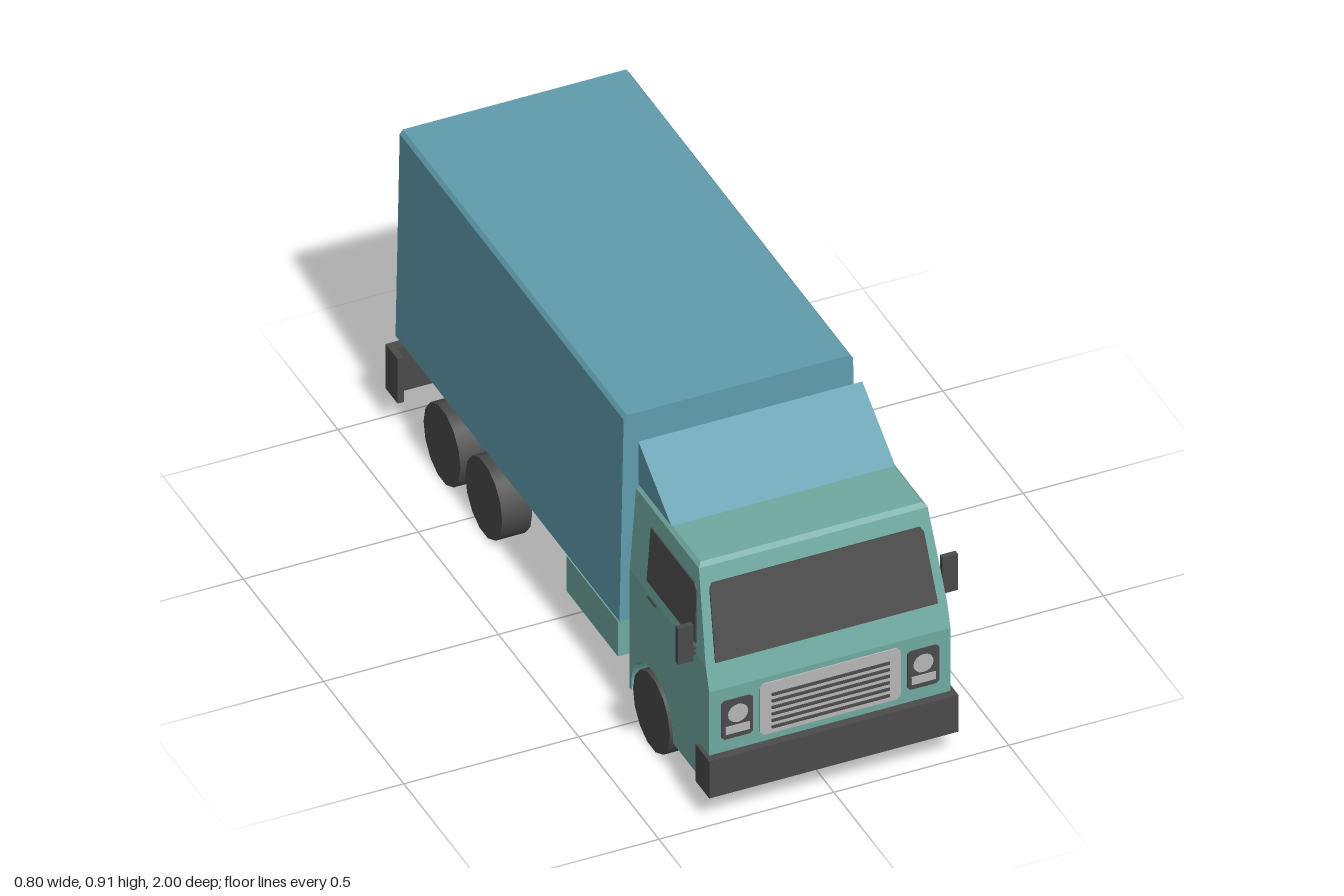
import * as THREE from 'three';

const mat = (name, color, side = THREE.FrontSide) => {
  const m = new THREE.MeshStandardMaterial({ color, side });
  m.name = name;
  return m;
};

export function createModel() {
  const green = mat('cabGreen', 0x70aaa1, THREE.DoubleSide);
  const blue = mat('cargoBlue', 0x609dae);
  const dark = mat('darkGrey', 0x4b4b4b);
  const light = mat('lightGrey', 0xb6b6b6);

  const add = (parent, name, geo, m, x = 0, y = 0, z = 0) => {
    const mesh = new THREE.Mesh(geo, m);
    mesh.name = name;
    mesh.position.set(x, y, z);
    parent.add(mesh);
    return mesh;
  };
  const group = (parent, name) => {
    const g = new THREE.Group();
    g.name = name;
    parent.add(g);
    return g;
  };
  // Box given by its limits on each axis
  const block = (parent, name, m, x0, x1, y0, y1, z0, z1) =>
    add(parent, name, new THREE.BoxGeometry(x1 - x0, y1 - y0, z1 - z0), m,
      (x0 + x1) / 2, (y0 + y1) / 2, (z0 + z1) / 2);
  const poly = (pts) => new THREE.Shape(pts.map(([x, y]) => new THREE.Vector2(x, y)));
  const extrude = (pts, depth) =>
    new THREE.ExtrudeGeometry(poly(pts), { depth, bevelEnabled: false });
  // Rectangle with cut corners
  const cutRect = (x0, x1, y0, y1, c) => [
    [x0 + c, y0], [x1 - c, y0], [x1, y0 + c], [x1, y1 - c],
    [x1 - c, y1], [x0 + c, y1], [x0, y1 - c], [x0, y0 + c]];
  // Convex flat-shaded faces, each a list of [x, y, z] corners
  const faces = (list) => {
    const v = [];
    for (const f of list)
      for (let i = 1; i < f.length - 1; i++) v.push(...f[0], ...f[i], ...f[i + 1]);
    const g = new THREE.BufferGeometry();
    g.setAttribute('position', new THREE.Float32BufferAttribute(v, 3));
    g.computeVertexNormals();
    return g;
  };

  const truck = new THREE.Group();
  truck.name = 'boxTruck';

  // Cab shell, open below: [half width, y, z] from front bottom over the roof to back bottom
  const cab = group(truck, 'cab');
  const section = [
    [0.345, 0.1, 0.975], [0.345, 0.41, 0.975], [0.345, 0.48, 0.953], [0.327, 0.735, 0.872],
    [0.317, 0.746, 0.86], [0.317, 0.746, 0.488], [0.327, 0.735, 0.48], [0.345, 0.48, 0.48],
    [0.345, 0.1, 0.48]];
  const strips = [];
  for (let i = 0; i < section.length - 1; i++) {
    const [a, ay, az] = section[i], [b, by, bz] = section[i + 1];
    strips.push([[-a, ay, az], [a, ay, az], [b, by, bz], [-b, by, bz]]);
  }
  add(cab, 'cabShell', faces(strips), green);

  // Windscreen on the sloped front
  const slope = Math.atan2(0.105, 0.33);
  const screen = add(cab, 'windscreen', extrude(
    [[-0.318, 0.076], [0.318, 0.076], [0.306, 0.28], [0.297, 0.294], [-0.297, 0.294], [-0.306, 0.28]],
    0.005), dark, 0, 0.41, 0.975);
  screen.rotation.x = -slope;

  // Grille
  const grille = group(cab, 'grille');
  add(grille, 'grillePanel', extrude(cutRect(-0.202, 0.202, 0.23, 0.393, 0.012), 0.004), light, 0, 0, 0.975);
  for (let i = 0; i < 6; i++) {
    const y = 0.354 - i * 0.0208;
    block(grille, 'grilleBar', dark, -0.168, 0.168, y - 0.004, y + 0.004, 0.977, 0.983);
  }

  // Roof wind deflector
  const wedge = add(cab, 'roofDeflector',
    extrude([[-0.685, 0.746], [-0.48, 0.746], [-0.48, 0.882]], 0.64), blue, -0.32, 0, 0);
  wedge.rotation.y = Math.PI / 2;

  // Cargo box with slightly leaning sides and cut top edges
  const cargo = group(truck, 'cargo');
  add(cargo, 'cargoBox', extrude(
    [[-0.34, 0.262], [0.34, 0.262], [0.328, 0.905], [0.319, 0.917], [-0.319, 0.917], [-0.328, 0.905]],
    1.395), blue, 0, 0, -0.99);
  block(cargo, 'cargoFloor', green, -0.335, 0.335, 0.257, 0.263, -0.985, 0.4);

  // Bumpers: a beam with a return at each end
  const bumper = (name, hw, y0, y1, zOuter, zBeam, zEnd) => {
    const g = group(truck, name);
    const span = (a, b) => [Math.min(a, b), Math.max(a, b)];
    block(g, 'bumperBeam', dark, -hw, hw, y0, y1, ...span(zOuter, zBeam));
    for (const s of [-1, 1])
      block(g, 'bumperEnd', dark, ...span(s * (hw - 0.018), s * hw), y0, y1, ...span(zBeam, zEnd));
  };
  bumper('frontBumper', 0.356, 0.09, 0.208, 1, 0.97, 0.915);
  bumper('rearBumper', 0.366, 0.098, 0.24, -0.995, -0.965, -0.92);

  for (const s of [1, -1]) {
    const side = group(truck, s > 0 ? 'leftSide' : 'rightSide');
    side.scale.x = s;

    // Lower cab side with wheel arch (shape x runs along -z)
    const lower = new THREE.Shape();
    lower.moveTo(-0.975, 0.1);
    lower.lineTo(-0.75, 0.1);
    lower.absarc(-0.62, 0.118, 0.13, Math.PI, 0, true);
    lower.lineTo(-0.49, 0.1);
    lower.lineTo(-0.48, 0.1);
    lower.lineTo(-0.48, 0.48);
    lower.lineTo(-0.953, 0.48);
    lower.lineTo(-0.975, 0.41);
    add(side, 'cabSideLower', new THREE.ShapeGeometry(lower, 10), green, 0.345).rotation.y = Math.PI / 2;

    // Upper cab side leaning inwards, with the roof edge
    add(side, 'cabSideUpper', faces([
      [section[2], section[7], section[6], section[3]],
      [section[3], section[6], section[5], section[4]]]), green);

    // Wheel arch liner
    const liner = new THREE.CylinderGeometry(0.13, 0.13, 0.1, 16, 1, true, -Math.PI / 2, Math.PI);
    liner.rotateX(Math.PI / 2).rotateZ(Math.PI).rotateY(Math.PI / 2);
    // keep the curved half above the axle
    liner.computeBoundingBox();
    if (liner.boundingBox.max.y < 0.05) liner.rotateX(Math.PI);
    add(side, 'wheelArch', liner, green, 0.295, 0.118, 0.62);
    add(side, 'wheelArchWall', new THREE.CircleGeometry(0.13, 16, 0, Math.PI), green, 0.245, 0.118, 0.62)
      .rotation.y = Math.PI / 2;

    // Side window
    const win = add(side, 'sideWindow', extrude(
      [[-0.893, 0.035], [-0.588, 0.035], [-0.588, 0.202], [-0.86, 0.202], [-0.872, 0.19]], 0.004),
      dark, 0.345, 0.48, 0);
    win.rotation.order = 'ZYX';
    win.rotation.set(0, Math.PI / 2, Math.atan2(0.018, 0.255));
    block(side, 'doorHandle', dark, 0.344, 0.349, 0.468, 0.475, 0.6, 0.65);

    // Mirror and bracket
    const mirror = group(side, 'mirror');
    block(mirror, 'mirrorHead', dark, 0.356, 0.4, 0.467, 0.582, 0.886, 0.902);
    for (const y of [0.48, 0.495])
      block(mirror, 'mirrorBracket', dark, 0.338, 0.36, y, y + 0.006, 0.886, 0.894);

    // Headlight
    const lamp = group(side, 'headlight');
    add(lamp, 'lampPanel', extrude(cutRect(0.221, 0.311, 0.248, 0.37, 0.008), 0.004), dark, 0, 0, 0.975);
    add(lamp, 'lampLens', new THREE.CircleGeometry(0.029, 16), light, 0.265, 0.325, 0.981);
    block(lamp, 'turnSignal', light, 0.232, 0.3, 0.264, 0.288, 0.977, 0.982);

    // Chassis rail and storage locker
    block(side, 'chassisRail', dark, 0.205, 0.22, 0.1, 0.262, -0.97, 0.48);
    block(side, 'storageLocker', green, 0.22, 0.332, 0.13, 0.242, 0.058, 0.378);

    // Wheels
    for (const z of [0.62, -0.425, -0.685]) {
      const wheel = new THREE.CylinderGeometry(0.115, 0.115, 0.086, 14);
      wheel.rotateZ(Math.PI / 2);
      add(side, z > 0 ? 'frontWheel' : 'rearWheel', wheel, dark, 0.304, 0.115, z);
    }

    // Rear plate on the cargo box and bumper reflector
    add(side, 'rearVent', extrude(cutRect(0.045, 0.29, 0.713, 0.775, 0.02), 0.005), dark, 0, 0, -0.994);
    add(side, 'rearReflector', new THREE.CircleGeometry(0.013, 12), light, 0.325, 0.16, -0.998)
      .rotation.y = Math.PI;
  }
  return truck;
}
